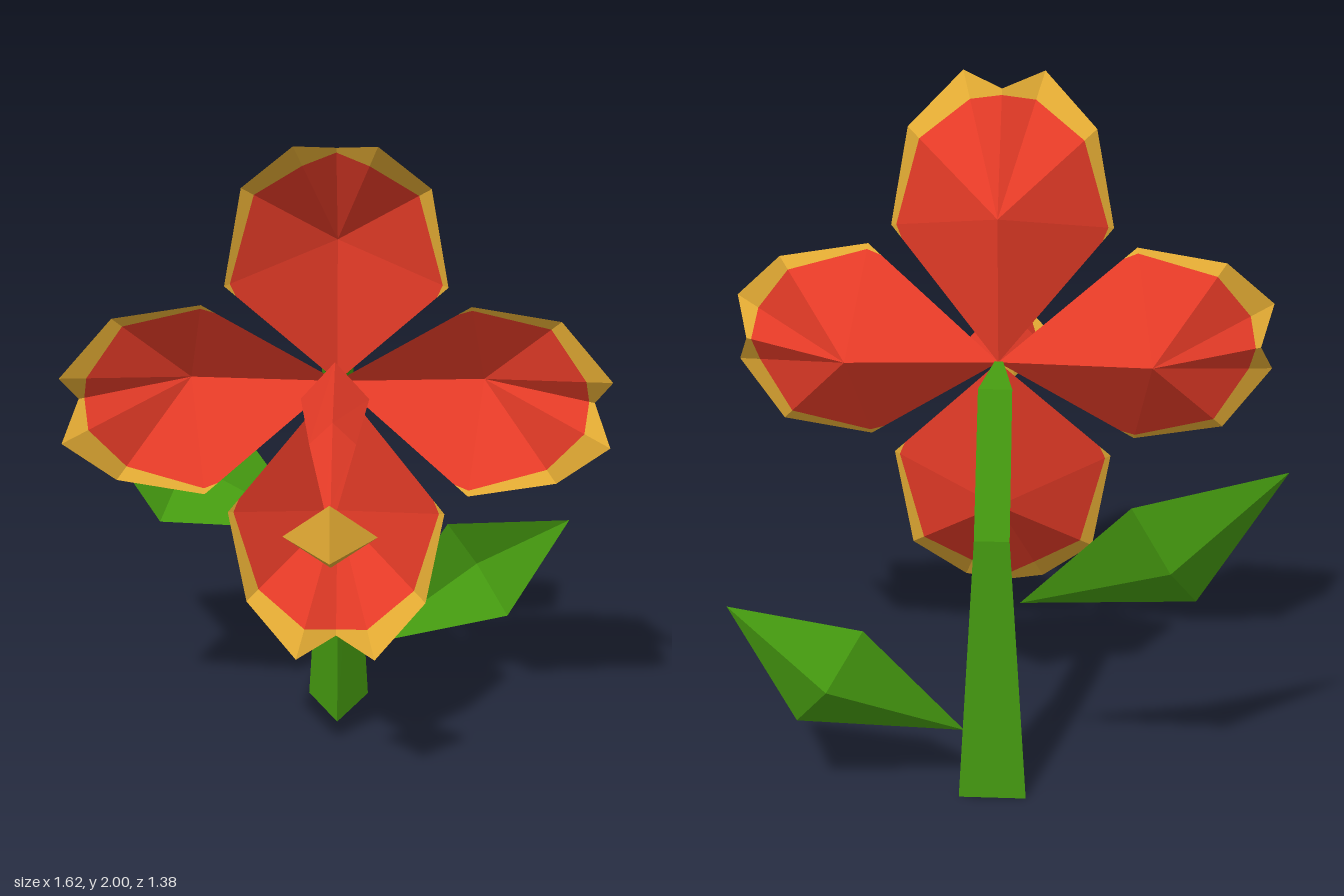
import * as THREE from 'three';

const material = (name, color) => {
  const m = new THREE.MeshStandardMaterial({ color, side: THREE.DoubleSide, flatShading: true });
  m.name = name;
  return m;
};
const V = (x, y, z) => new THREE.Vector3(x, y, z);

// Mesh from a flat list of triangle corners
function facetMesh(name, corners, mat) {
  const geo = new THREE.BufferGeometry().setFromPoints(corners);
  geo.computeVertexNormals();
  const mesh = new THREE.Mesh(geo, mat);
  mesh.name = name;
  return mesh;
}

// Skin between equal cross-sections, listed counter-clockwise along the axis, with end caps
function loft(name, rings, mat) {
  const tris = [];
  const n = rings[0].length;
  for (let r = 0; r < rings.length - 1; r++) {
    for (let i = 0; i < n; i++) {
      const j = (i + 1) % n, a = rings[r], b = rings[r + 1];
      tris.push(a[i], a[j], b[j], a[i], b[j], b[i]);
    }
  }
  const last = rings[rings.length - 1];
  for (let i = 1; i < n - 1; i++) {
    tris.push(rings[0][0], rings[0][i + 1], rings[0][i], last[0], last[i], last[i + 1]);
  }
  return facetMesh(name, tris, mat);
}

// Cupped petal: a fan round a sunken middle, with a coloured rim
function petal(name, angle, p, red, yellow) {
  const c = Math.cos(angle), s = Math.sin(angle);
  const at = (u, v, z) => V(0.01 + u * c - v * s, 1.21 + u * s + v * c, z);
  const base = at(0, 0, -0.18), mid = at(p.mid, 0, -0.21);
  const half = [[...p.side, 0.01, 0.95], [...p.shoulder, 0.01, 0.87], [...p.tip, 0.11, 0.8]];
  const profile = [
    ...half.map(([u, v, z, t]) => [u, -v, z, t]),
    [p.notch, 0, 0, 0.95],
    ...half.reverse(),
  ];
  const outer = profile.map(([u, v, z]) => at(u, v, z));
  const inner = profile.map((q, i) => mid.clone().lerp(outer[i], q[3]));
  const inside = [], rim = [];
  for (let i = 0; i < outer.length - 1; i++) {
    inside.push(mid, inner[i], inner[i + 1]);
    rim.push(inner[i], outer[i], outer[i + 1], inner[i], outer[i + 1], inner[i + 1]);
  }
  // Lower flanks running to the flower's heart
  const end = outer.length - 1;
  const e0 = base.clone().lerp(outer[0], 0.9), e1 = base.clone().lerp(outer[end], 0.9);
  inside.push(mid, base, e0, mid, e0, inner[0], mid, e1, base, mid, inner[end], e1);
  rim.push(e0, outer[0], inner[0], e1, inner[end], outer[end]);
  const g = new THREE.Group();
  g.name = name;
  g.add(facetMesh(name + 'Blade', inside, red), facetMesh(name + 'Rim', rim, yellow));
  return g;
}

// Four-cornered leaf folded back round its middle
function leaf(name, mid, corners, mat) {
  const tris = [];
  corners.forEach((p, i) => tris.push(mid, p, corners[(i + 1) % corners.length]));
  return facetMesh(name, tris, mat);
}

export function createModel() {
  const red = material('petal red', 0xe53b27);
  const yellow = material('pollen yellow', 0xe2aa33);
  const green = material('leaf green', 0x459a10);
  const model = new THREE.Group();
  model.name = 'flower';

  // Petals
  const tall = { mid: 0.43, side: [0.35, 0.322], shoulder: [0.64, 0.27], tip: [0.785, 0.118], notch: 0.755 };
  const wide = { mid: 0.44, side: [0.39, 0.293], shoulder: [0.65, 0.25], tip: [0.795, 0.1], notch: 0.755 };
  ['leftPetal', 'topPetal', 'rightPetal', 'bottomPetal'].forEach((name, i) =>
    model.add(petal(name, i * Math.PI / 2, i % 2 ? tall : wide, red, yellow)));

  // Three-sided stem: front edge and flat back
  const stemRing = (w, yf, zf, yb, zb) => [V(0.007, yf, zf), V(0.007 + w, yb, zb), V(0.007 - w, yb, zb)];
  model.add(loft('stem', [
    stemRing(0.097, 0, -0.32, 0, -0.53),
    stemRing(0.05, 0.8, -0.42, 0.8, -0.525),
    stemRing(0.048, 1.1, -0.33, 1.195, -0.37),
    stemRing(0.012, 1.195, -0.19, 1.22, -0.2),
  ], green));

  // Leaves
  model.add(leaf('leftLeaf', V(0.46, 0.4, -0.69), [
    V(0.09, 0.195, -0.49), V(0.56, 0.26, -0.585), V(0.75, 0.605, -0.575), V(0.36, 0.565, -0.63),
  ], green));
  model.add(leaf('rightLeaf', V(-0.49, 0.77, -0.655), [
    V(-0.07, 0.6, -0.49), V(-0.38, 0.97, -0.675), V(-0.81, 1.015, -0.5), V(-0.565, 0.62, -0.495),
  ], green));

  // Four-sided pistil: right, top, left, bottom
  const pistilRing = (w, sideY, sideZ, topY, topZ, lowY, lowZ) =>
    [V(0.007 + w, sideY, sideZ), V(0.007, topY, topZ), V(0.007 - w, sideY, sideZ), V(0.007, lowY, lowZ)];
  model.add(loft('pistil', [
    pistilRing(0.005, 1.21, -0.18, 1.215, -0.18, 1.205, -0.18),
    pistilRing(0.1, 1.22, 0.01, 1.33, 0, 1.12, 0.06),
    pistilRing(0.066, 1.19, 0.31, 1.255, 0.31, 1.11, 0.29),
    pistilRing(0.016, 1.075, 0.53, 1.09, 0.53, 1.055, 0.53),
  ], red));

  // Pollen head: a tilted eight-faced gem
  const gem = [V(0.007, 1.15, 0.67), V(0.007, 1.06, 0.52), V(0.007, 0.915, 0.545), V(0.007, 0.985, 0.685)];
  const gemTris = [];
  gem.forEach((p, i) => {
    const q = gem[(i + 1) % 4];
    gemTris.push(p, V(0.137, 1.03, 0.6), q, q, V(-0.123, 1.03, 0.6), p);
  });
  model.add(facetMesh('pollenHead', gemTris, yellow));

  return model;
}
